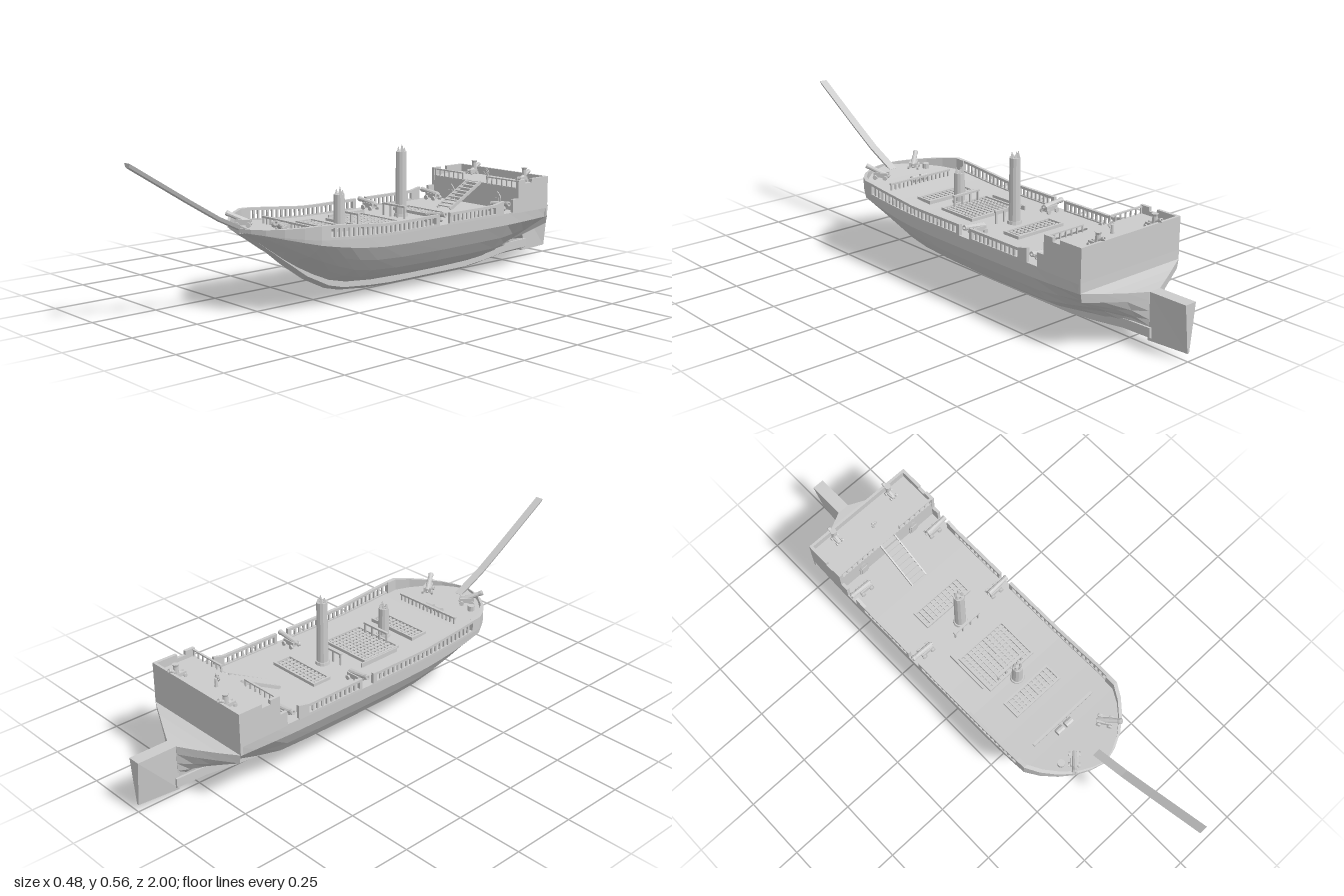
import * as THREE from 'three';

const mat = new THREE.MeshStandardMaterial({ color: 0xcccccc, flatShading: true, side: THREE.DoubleSide });
const { lerp } = THREE.MathUtils;

// Piecewise linear lookup; table rows are [z, value] with falling z
function table(rows) {
  return z => {
    for (let i = 0; i < rows.length - 1; i++) {
      const [z0, a] = rows[i], [z1, b] = rows[i + 1];
      if (z >= z1) return lerp(a, b, Math.max(0, (z0 - z) / (z0 - z1)));
    }
    return rows[rows.length - 1][1];
  };
}

// Half breadth at deck, deck height, rail height, keel underside
const breadth = table([[0.578, 0.012], [0.565, 0.06], [0.54, 0.11], [0.5, 0.16], [0.45, 0.203], [0.4, 0.232], [0.3, 0.235], [-0.745, 0.235]]);
const deckY = z => 0.255 + 0.043 * Math.pow(Math.max(0, (z - 0.05) / 0.528), 1.5);
const railY = table([[0.578, 0.306], [0.39, 0.324], [0.1, 0.296], [-0.45, 0.295], [-0.48, 0.305], [-0.6, 0.305]]);
const keelY = table([[0.578, 0.298], [0.5, 0.238], [0.4, 0.157], [0.3, 0.087], [0.2, 0.038], [0.13, 0.02], [0, 0.008], [-0.1, 0.003], [-0.5, 0.003], [-0.6, 0.012], [-0.74, 0.03], [-0.86, 0.033]]);

function add(parent, name, geo, x = 0, y = 0, z = 0) {
  const m = new THREE.Mesh(geo, mat);
  m.name = name;
  m.position.set(x, y, z);
  parent.add(m);
  return m;
}
const box = (p, name, w, h, d, x, y, z) => add(p, name, new THREE.BoxGeometry(w, h, d), x, y, z);
const cyl = (p, name, r0, r1, h, x, y, z, n = 10) => add(p, name, new THREE.CylinderGeometry(r0, r1, h, n), x, y, z);

// Skin over closed rings, ordered from bow to stern, each counter-clockwise seen from the bow
function loft(rings) {
  const n = rings[0].length, last = (rings.length - 1) * n, idx = [];
  for (let r = 0; r < rings.length - 1; r++) {
    for (let i = 0; i < n; i++) {
      const a = r * n + i, b = r * n + (i + 1) % n;
      idx.push(a, a + n, b, b, a + n, b + n);
    }
  }
  for (let i = 1; i < n - 1; i++) idx.push(0, i, i + 1, last, last + i + 1, last + i);
  const g = new THREE.BufferGeometry();
  g.setAttribute('position', new THREE.Float32BufferAttribute(rings.flat(2), 3));
  g.setIndex(idx);
  g.computeVertexNormals();
  return g;
}

function buildHull(ship) {
  // Fraction of half breadth and of height, from garboard to deck edge
  const profile = [[0.1, 0], [0.47, 0.163], [0.70, 0.325], [0.85, 0.535], [0.99, 0.79], [1, 1]];
  const section = (z, w, y0, y1, pinch) => {
    const half = profile.map(([f, t]) => [Math.max(w * Math.pow(f, pinch), Math.min(w, 0.02)), lerp(y0, y1, t), z]);
    return [...half, ...half.map(([x, y]) => [-x, y, z]).reverse()];
  };
  const stations = [0.578, 0.565, 0.54, 0.5, 0.45, 0.4, 0.34, 0.27, 0.2, 0.12, 0, -0.2, -0.4, -0.52, -0.6, -0.68, -0.745];
  const rings = stations.map(z => {
    const lift = 0.033 * Math.min(1, (0.578 - z) / 0.35);
    const pinch = z < -0.5 ? 1 + 1.6 * Math.pow((-0.5 - z) / 0.245, 1.5) : 1;
    return section(z, breadth(z), Math.min(keelY(z) + lift, deckY(z) - 0.01), deckY(z), pinch);
  });
  // Counter drawn in to the sternpost
  rings.push(section(-0.746, 0.235, 0.065, 0.222, 2.6), section(-0.78, 0.165, 0.065, 0.213, 2.6),
    section(-0.815, 0.095, 0.063, 0.207, 2), section(-0.85, 0.025, 0.06, 0.204, 0.3));
  add(ship, 'hull', loft(rings));

  // Keel and stem with a V-shaped underside
  const keelZ = [0.578, 0.54, 0.5, 0.45, 0.4, 0.35, 0.3, 0.25, 0.2, 0.13, 0, -0.1, -0.5, -0.6, -0.74, -0.86];
  add(ship, 'keel', loft(keelZ.map(z => {
    const y = keelY(z), w = 0.029 * Math.min(1, 0.05 + (0.578 - z) / 0.17), h = 0.048 * Math.min(1, 0.1 + (0.578 - z) / 0.2);
    return [[0, y, z], [w, y + h * 0.3, z], [w, y + h, z], [-w, y + h, z], [-w, y + h * 0.3, z]];
  })));

  // Rudder, wedge-shaped towards the foot
  const rudder = (z, top, foot) => [[foot, 0.032, z], [top, 0.204, z], [-top, 0.204, z], [-foot, 0.032, z]];
  add(ship, 'rudder', loft([rudder(-0.845, 0.024, 0.02), rudder(-1, 0.024, 0.004)]));

  // Bowsprit with a rounded underside
  const spar = [[0.998, 0.562], [0.78, 0.425], [0.66, 0.352], [0.53, 0.288]];
  add(ship, 'bowsprit', loft(spar.map(([z, y]) =>
    [[0, y - 0.012, z], [0.011, y - 0.008, z], [0.016, y + 0.005, z], [-0.016, y + 0.005, z], [-0.011, y - 0.008, z]])));
}

// Strip of wall following the ship's side, mirrored
function sideWall(ship, name, zs, y0, y1, thick = 0.012) {
  for (const s of [1, -1]) {
    add(ship, name, loft(zs.map(z => {
      const o = breadth(z) * s, i = Math.max(0.002, breadth(z) - thick) * s;
      const a = Math.min(o, i), b = Math.max(o, i);
      return [[a, y0(z), z], [b, y0(z), z], [b, y1(z), z], [a, y1(z), z]];
    })));
  }
}

function buildBulwarks(ship) {
  const low = z => deckY(z) - 0.004;
  sideWall(ship, 'bowBulwark', [0.578, 0.565, 0.54, 0.5, 0.45, 0.4, 0.36], low, railY, 0.016);
  for (const [z0, z1] of [[0.36, -0.135], [-0.215, -0.45]]) {
    const n = Math.round((z0 - z1) / 0.022);
    const zs = Array.from({ length: 9 }, (_, i) => lerp(z0, z1, i / 8));
    sideWall(ship, 'railCap', zs, z => railY(z) - 0.01, railY);
    sideWall(ship, 'railSill', zs, low, z => deckY(z) + 0.005);
    for (let i = 1; i < n; i++) {
      const z = lerp(z0, z1, i / n), y0 = deckY(z), h = railY(z) - y0 - 0.005;
      for (const s of [1, -1]) box(ship, 'baluster', 0.007, h, 0.008, s * (breadth(z) - 0.006), y0 + h / 2, z);
    }
  }
  for (const [z0, z1] of [[-0.135, -0.152], [-0.205, -0.218], [-0.45, -0.495], [-0.545, -0.58]]) sideWall(ship, 'gunportWall', [z0, z1], low, railY);
}

function buildSterncastle(ship) {
  const floor = 0.345, low = () => 0.25;
  sideWall(ship, 'castleSide', [-0.575, -0.745], low, () => 0.36);
  for (const [z0, z1] of [[-0.575, -0.615], [-0.65, -0.745]]) sideWall(ship, 'castleRail', [z0, z1], () => 0.355, () => 0.375);
  box(ship, 'transom', 0.47, 0.155, 0.01, 0, 0.2975, -0.74);
  box(ship, 'quarterdeck', 0.46, 0.01, 0.165, 0, floor - 0.005, -0.66);
  box(ship, 'cabinWall', 0.46, 0.09, 0.01, 0, 0.298, -0.582);
  const arch = new THREE.Shape();
  arch.moveTo(-0.02, 0).lineTo(0.02, 0).lineTo(0.02, 0.04).quadraticCurveTo(0.016, 0.056, 0, 0.066).quadraticCurveTo(-0.016, 0.056, -0.02, 0.04);
  for (const s of [1, -1]) {
    const door = new THREE.ExtrudeGeometry(arch, { depth: 0.006, bevelEnabled: false, curveSegments: 4 });
    add(ship, 'cabinDoor', door, s * 0.125, 0.255, -0.579);
    box(ship, 'doorPanel', 0.026, 0.04, 0.004, s * 0.125, 0.277, -0.572);
    // Forward railing of the quarterdeck
    box(ship, 'quarterRail', 0.16, 0.005, 0.008, s * 0.143, 0.37, -0.582);
    for (let i = 0; i < 7; i++) box(ship, 'quarterBaluster', 0.005, 0.026, 0.005, s * (0.066 + i * 0.0255), 0.357, -0.582);
  }
  // Companion stairs
  for (let i = 0; i < 9; i++) box(ship, 'stairTread', 0.064, 0.004, 0.017, 0, 0.265 + i * 0.0095, -0.417 - i * 0.019);
  for (const s of [1, -1]) box(ship, 'stairStringer', 0.005, 0.012, 0.192, s * 0.034, 0.301, -0.493).rotation.x = Math.atan2(0.09, 0.17);
  // Helm: binnacle post with wheel
  cyl(ship, 'helmPost', 0.004, 0.007, 0.03, 0, 0.36, -0.655, 8);
  add(ship, 'helmWheel', new THREE.TorusGeometry(0.011, 0.002, 5, 12), 0, 0.375, -0.648);
  for (let i = 0; i < 3; i++) box(ship, 'helmSpoke', 0.03, 0.002, 0.002, 0, 0.375, -0.648).rotation.z = i * Math.PI / 3;
}

function cannon(ship, x, y, z, yaw, pitch, scale = 1) {
  const g = new THREE.Group();
  g.name = 'cannon';
  for (const s of [1, -1]) {
    box(g, 'carriageCheek', 0.007, 0.018, 0.055, s * 0.011, 0.018, -0.012);
    for (const wz of [0.008, -0.032]) cyl(g, 'carriageWheel', 0.009, 0.009, 0.007, s * 0.018, 0.009, wz, 10).rotation.z = Math.PI / 2;
  }
  box(g, 'carriageBed', 0.024, 0.006, 0.05, 0, 0.011, -0.012);
  const pts = [[0, -0.048], [0.004, -0.046], [0.004, -0.041], [0.011, -0.038], [0.0105, -0.01], [0.0085, 0.035], [0.0105, 0.046], [0.0095, 0.052], [0.005, 0.052], [0.005, 0.03], [0, 0.03]];
  const barrel = add(g, 'barrel', new THREE.LatheGeometry(pts.map(p => new THREE.Vector2(...p)), 10), 0, 0.029, 0);
  barrel.rotation.x = Math.PI / 2 - pitch;
  g.position.set(x, y, z);
  g.rotation.y = yaw;
  g.scale.setScalar(scale);
  ship.add(g);
}

function grating(ship, z0, z1) {
  const w = 0.21, d = z1 - z0, z = (z0 + z1) / 2, y = 0.2555 + deckY(z) - 0.255;
  for (const s of [1, -1]) {
    box(ship, 'hatchCoaming', w + 0.008, 0.014, 0.008, 0, y + 0.004, z + s * d / 2);
    box(ship, 'hatchCoaming', 0.008, 0.014, d, s * w / 2, y + 0.004, z);
  }
  for (let i = 1; i < 11; i++) box(ship, 'hatchBar', 0.007, 0.007, d, -w / 2 + i * w / 11, y + 0.004, z);
  const n = Math.round(d / 0.017);
  for (let i = 1; i < n; i++) box(ship, 'hatchCrossBar', w, 0.006, 0.006, 0, y + 0.003, z0 + i * d / n);
}

// Broken mast stump with a splintered top
function mast(ship, z, top) {
  const base = 0.25;
  cyl(ship, 'mast', 0.02, 0.022, top - base - 0.018, 0, (top + base - 0.018) / 2, z, 12);
  for (let i = 0; i < 5; i++) {
    const a = i * Math.PI * 0.4, h = 0.012 + 0.014 * ((i * 3) % 5) / 4;
    cyl(ship, 'splinter', 0.001, 0.008, h, Math.sin(a) * 0.012, top - 0.019 + h / 2, z + Math.cos(a) * 0.012, 4);
  }
  cyl(ship, 'mastCollar', 0.026, 0.028, 0.012, 0, 0.26, z, 12);
}

function postRail(ship, name, width, z, height, count) {
  const y = deckY(z);
  box(ship, name, width, 0.007, 0.01, 0, y + height, z);
  for (let i = 0; i < count; i++) box(ship, name + 'Post', 0.006, height, 0.006, lerp(-1, 1, i / (count - 1)) * (width / 2 - 0.006), y + height / 2, z);
}

function buildFittings(ship) {
  mast(ship, 0.125, 0.39);
  mast(ship, -0.18, 0.517);
  grating(ship, 0.17, 0.235);
  grating(ship, -0.07, 0.095);
  grating(ship, -0.315, -0.245);
  box(ship, 'hatchSideRail', 0.005, 0.02, 0.175, -0.122, 0.262, -0.015);
  postRail(ship, 'foreRail', 0.29, 0.36, 0.025, 15);
  postRail(ship, 'foreFifeRail', 0.125, 0.085, 0.045, 4);
  postRail(ship, 'mainFifeRail', 0.125, -0.145, 0.045, 4);
  // Windlass drums and bollard on the foredeck
  for (const x of [-0.035, 0.008]) cyl(ship, 'windlassDrum', 0.013, 0.013, 0.032, x, deckY(0.382) + 0.012, 0.382).rotation.z = Math.PI / 2;
  cyl(ship, 'bollard', 0.014, 0.014, 0.02, -0.12, deckY(0.475) + 0.009, 0.475);
  // Guns
  cannon(ship, -0.085, deckY(0.505), 0.505, -0.8, 0.4);
  cannon(ship, 0.11, deckY(0.48), 0.48, 0.6, 0.4);
  for (const s of [1, -1]) {
    for (const z of [-0.18, -0.52]) cannon(ship, s * 0.185, 0.256, z, s * Math.PI / 2, 0.12);
    cannon(ship, s * 0.135, 0.345, -0.715, Math.PI, 0.5, 0.75);
    cyl(ship, 'sternGunPost', 0.009, 0.011, 0.05, s * 0.135, 0.37, -0.72, 10);
    cyl(ship, 'sternGunCap', 0.012, 0.009, 0.008, s * 0.135, 0.396, -0.72, 10);
  }
}

export function createModel() {
  const ship = new THREE.Group();
  ship.name = 'sailingShip';
  buildHull(ship);
  buildBulwarks(ship);
  buildSterncastle(ship);
  buildFittings(ship);
  return ship;
}
